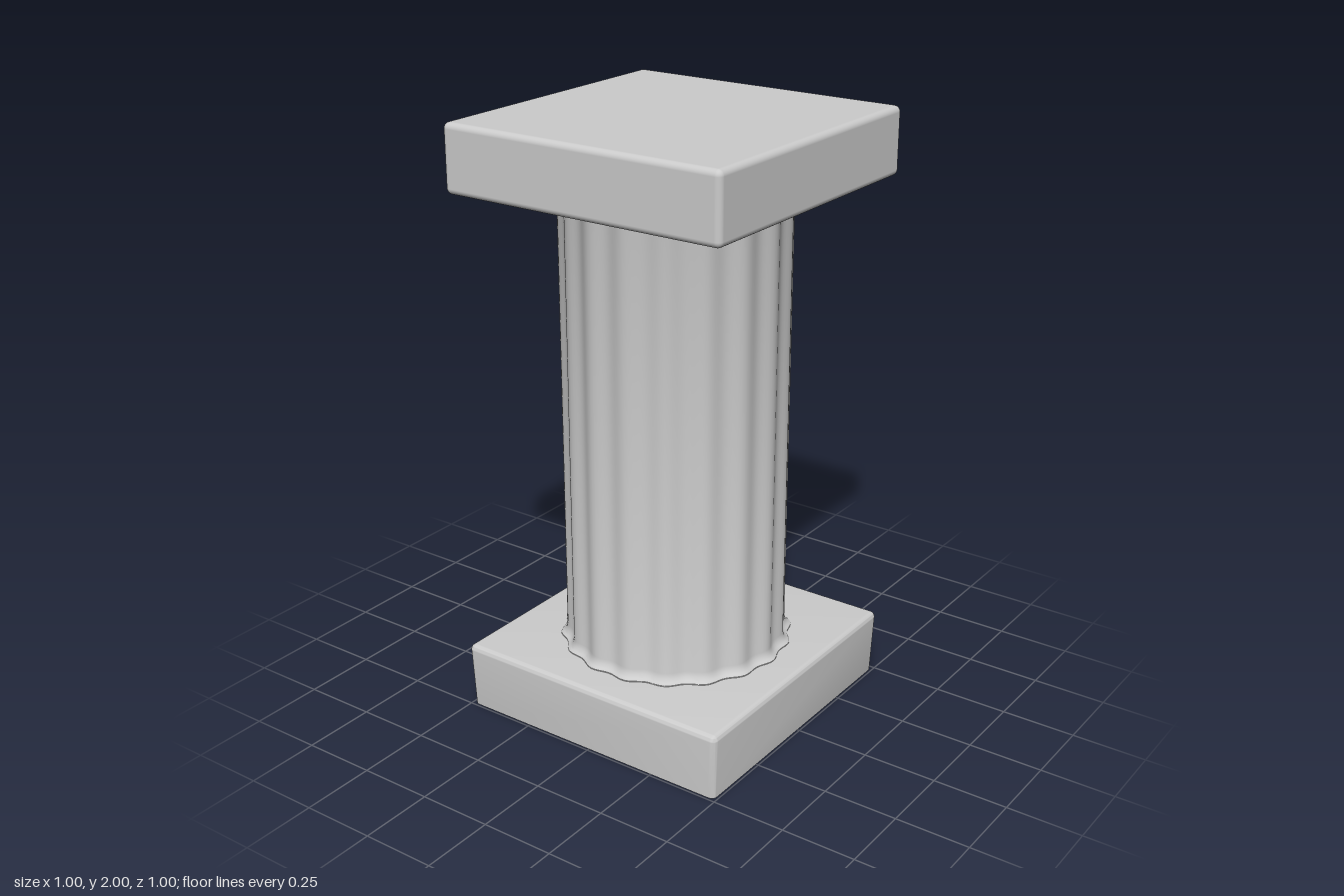
import * as THREE from 'three';
import { RoundedBoxGeometry } from 'three/addons/geometries/RoundedBoxGeometry.js';
import { toCreasedNormals } from 'three/addons/utils/BufferGeometryUtils.js';

const FLUTES = 18;
const material = new THREE.MeshStandardMaterial({ color: 0xcccccc });

function addPart(group, name, geometry) {
  const mesh = new THREE.Mesh(geometry, material);
  mesh.name = name;
  group.add(mesh);
}

// Fluted shaft: a lathe whose radius ripples around the axis, flaring at both ends
function shaftGeometry() {
  const profile = [
    [0.392, 0.21], [0.392, 0.23], [0.382, 0.236], [0.374, 0.246], [0.37, 0.262],
    [0.37, 1.743], [0.374, 1.759], [0.382, 1.769], [0.392, 1.775], [0.392, 1.795],
  ].map(([r, y]) => new THREE.Vector2(r, y));
  const geometry = new THREE.LatheGeometry(profile, FLUTES * 10);
  const pos = geometry.attributes.position;
  for (let i = 0; i < pos.count; i++) {
    const x = pos.getX(i), z = pos.getZ(i);
    const wave = (1 - Math.cos(FLUTES * Math.atan2(z, x))) / 2;
    const scale = 1 - 0.015 * wave / Math.hypot(x, z);
    pos.setX(i, x * scale);
    pos.setZ(i, z * scale);
  }
  return toCreasedNormals(geometry, 0.9);
}

// Base slab: rounded on top, cut flat underneath, slightly narrower at the foot
function baseGeometry() {
  const top = 0.227, sunk = 0.03;
  const geometry = new RoundedBoxGeometry(1, top + sunk, 1, 4, 0.02);
  geometry.translate(0, (top - sunk) / 2, 0);
  const pos = geometry.attributes.position;
  for (let i = 0; i < pos.count; i++) {
    const y = Math.max(0, pos.getY(i));
    const scale = 1 - 0.016 * (1 - y / top);
    pos.setXYZ(i, pos.getX(i) * scale, y, pos.getZ(i) * scale);
  }
  return toCreasedNormals(geometry, 0.9);
}

export function createModel() {
  const group = new THREE.Group();
  group.name = 'column';

  addPart(group, 'base', baseGeometry());
  addPart(group, 'shaft', shaftGeometry());

  // Capital slab, rounded on every edge
  const capital = new RoundedBoxGeometry(1.004, 0.222, 1.004, 4, 0.02);
  capital.translate(0, 1.889, 0);
  addPart(group, 'capital', capital);

  return group;
}
